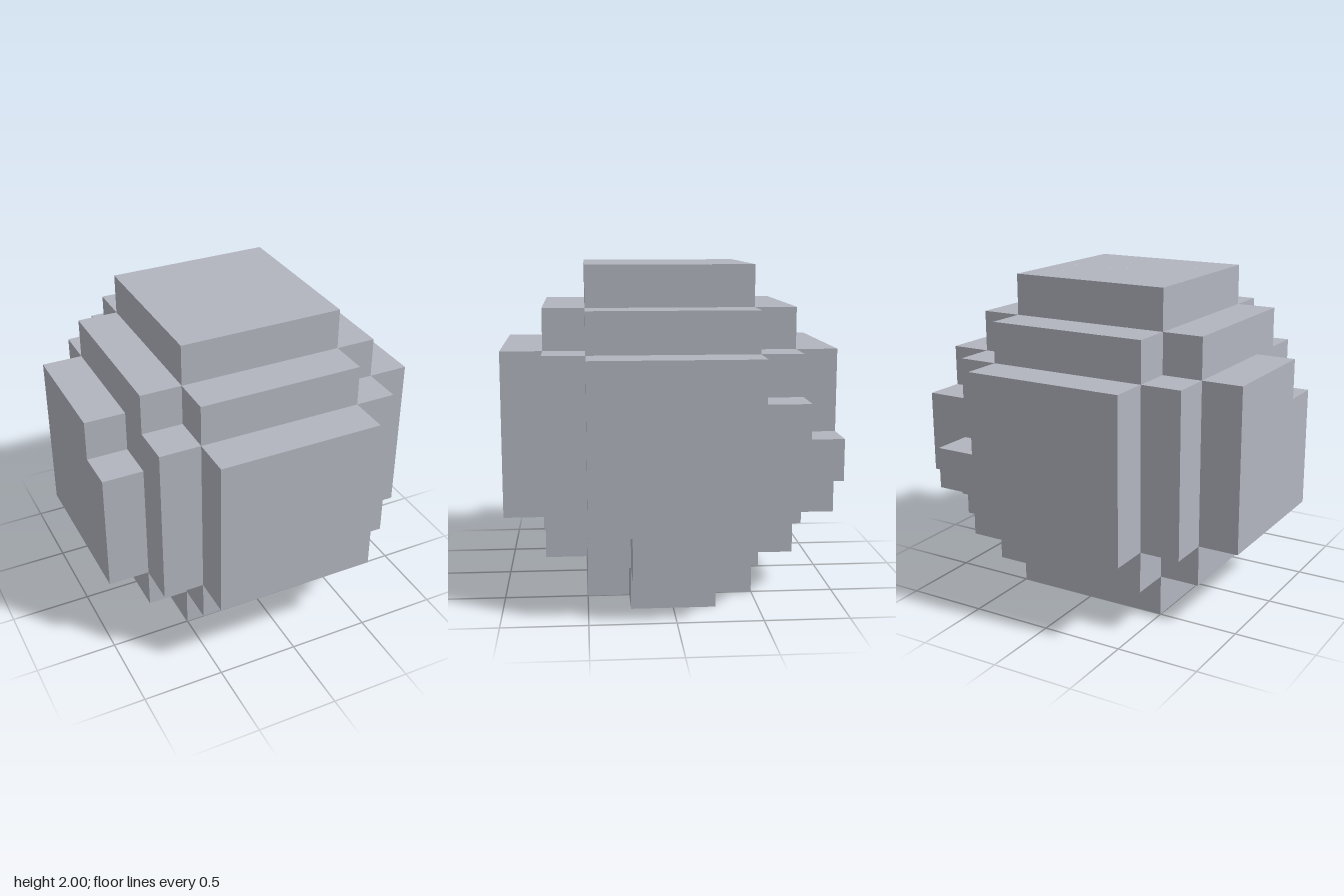
import * as THREE from 'three';
import { mergeGeometries } from 'three/addons/utils/BufferGeometryUtils.js';

const N = 8;          // cells per side
const S = 2 / N;      // cell size

// Single cells [x, y, z] that break the symmetry of the ball
const BUMPS = [
  [7, 3, 1], [7, 4, 1], [6, 3, 0],                 // back right edge
  [7, 1, 3], [7, 1, 4], [6, 0, 3], [6, 0, 4],      // lower right edge
];
const CHIPS = [[0, 5, 5]];                         // missing corner on the -x side

const has = (list, x, y, z) => list.some((c) => c[0] === x && c[1] === y && c[2] === z);

// A cell is filled when its centre lies within the ball radius
function filled(x, y, z) {
  if (has(BUMPS, x, y, z)) return true;
  if (has(CHIPS, x, y, z)) return false;
  const m = (N - 1) / 2;
  return (x - m) ** 2 + (y - m) ** 2 + (z - m) ** 2 <= 17;
}

const DIRECTIONS = [
  [1, 0, 0], [-1, 0, 0], [0, 1, 0], [0, -1, 0], [0, 0, 1], [0, 0, -1],
].map((d) => new THREE.Vector3(...d));

// Outer shell: one square for every cell side that faces empty space
function blockShell() {
  const squares = [];
  for (let x = 0; x < N; x++) for (let y = 0; y < N; y++) for (let z = 0; z < N; z++) {
    if (!filled(x, y, z)) continue;
    for (const d of DIRECTIONS) {
      if (filled(x + d.x, y + d.y, z + d.z)) continue;
      const square = new THREE.PlaneGeometry(S, S);
      square.lookAt(d);
      square.translate(
        (x + 0.5 + d.x / 2) * S - 1,
        (y + 0.5 + d.y / 2) * S,
        (z + 0.5 + d.z / 2) * S - 1,
      );
      squares.push(square);
    }
  }
  return mergeGeometries(squares);
}

export function createModel() {
  const grey = new THREE.MeshStandardMaterial({ color: 0xb2b5be });
  grey.name = 'stoneGrey';

  const ball = new THREE.Mesh(blockShell(), grey);
  ball.name = 'blockBall';

  const model = new THREE.Group();
  model.name = 'blockBoulder';
  model.add(ball);
  return model;
}
